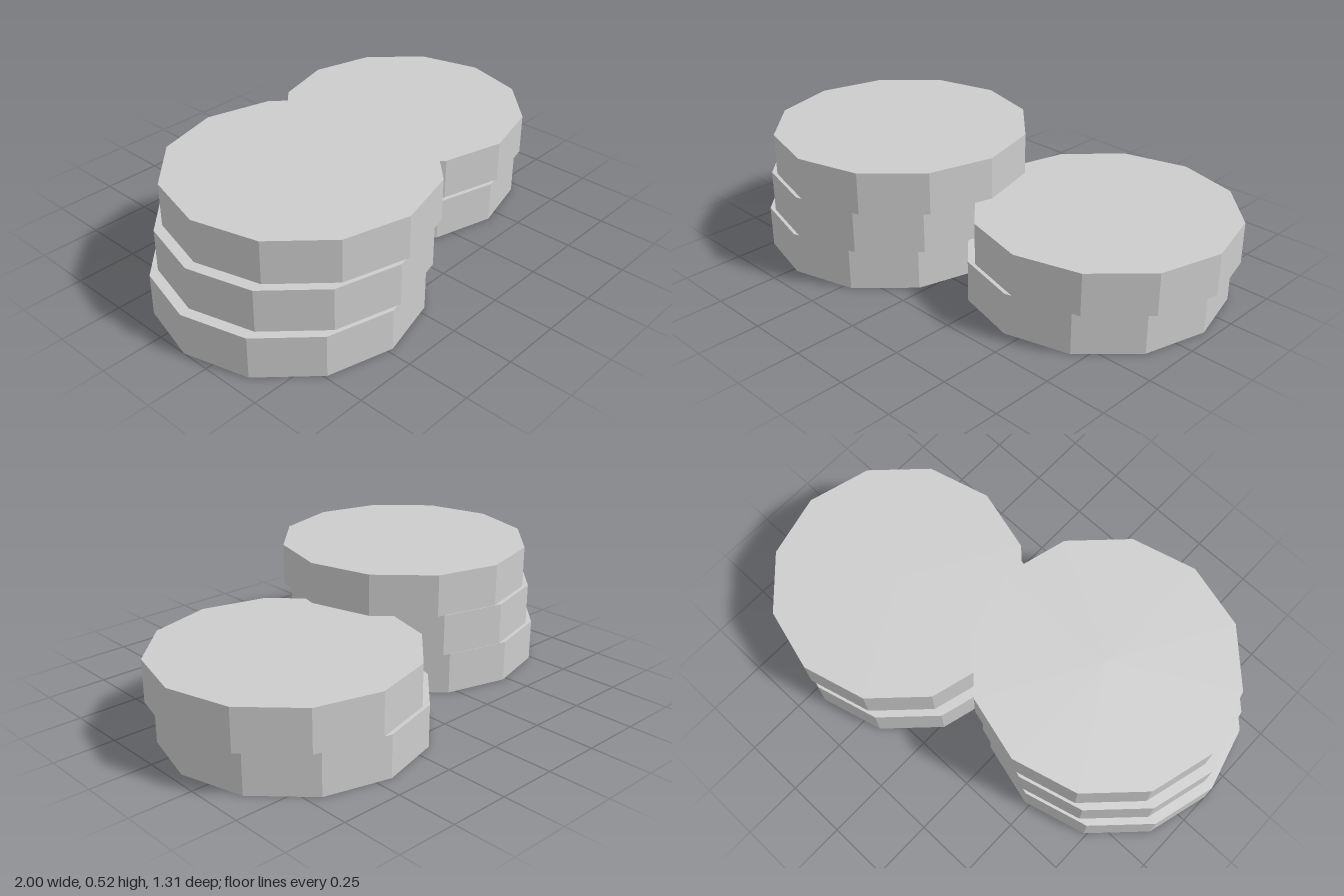
import * as THREE from 'three';

const RADIUS = 0.522, HEIGHT = 0.171, PITCH = 0.177, SHIFT = 0.039;

export function createModel() {
  const model = new THREE.Group();
  const grey = new THREE.MeshStandardMaterial({ color: 0xcccccc });
  grey.name = 'lightGrey';
  grey.flatShading = true;

  const discGeometry = new THREE.CylinderGeometry(RADIUS, RADIUS, HEIGHT, 12);

  // A pile of twelve-sided discs, each one shifted slightly towards +x
  function addStack(name, x, z, count) {
    const stack = new THREE.Group();
    stack.name = name;
    for (let i = 0; i < count; i++) {
      const disc = new THREE.Mesh(discGeometry, grey);
      disc.name = `disc${i + 1}`;
      disc.position.set(x + i * SHIFT, HEIGHT / 2 + i * PITCH, z);
      stack.add(disc);
    }
    model.add(stack);
  }

  addStack('tallStack', -0.478, 0.131, 3);
  addStack('shortStack', 0.439, -0.131, 2);
  return model;
}
